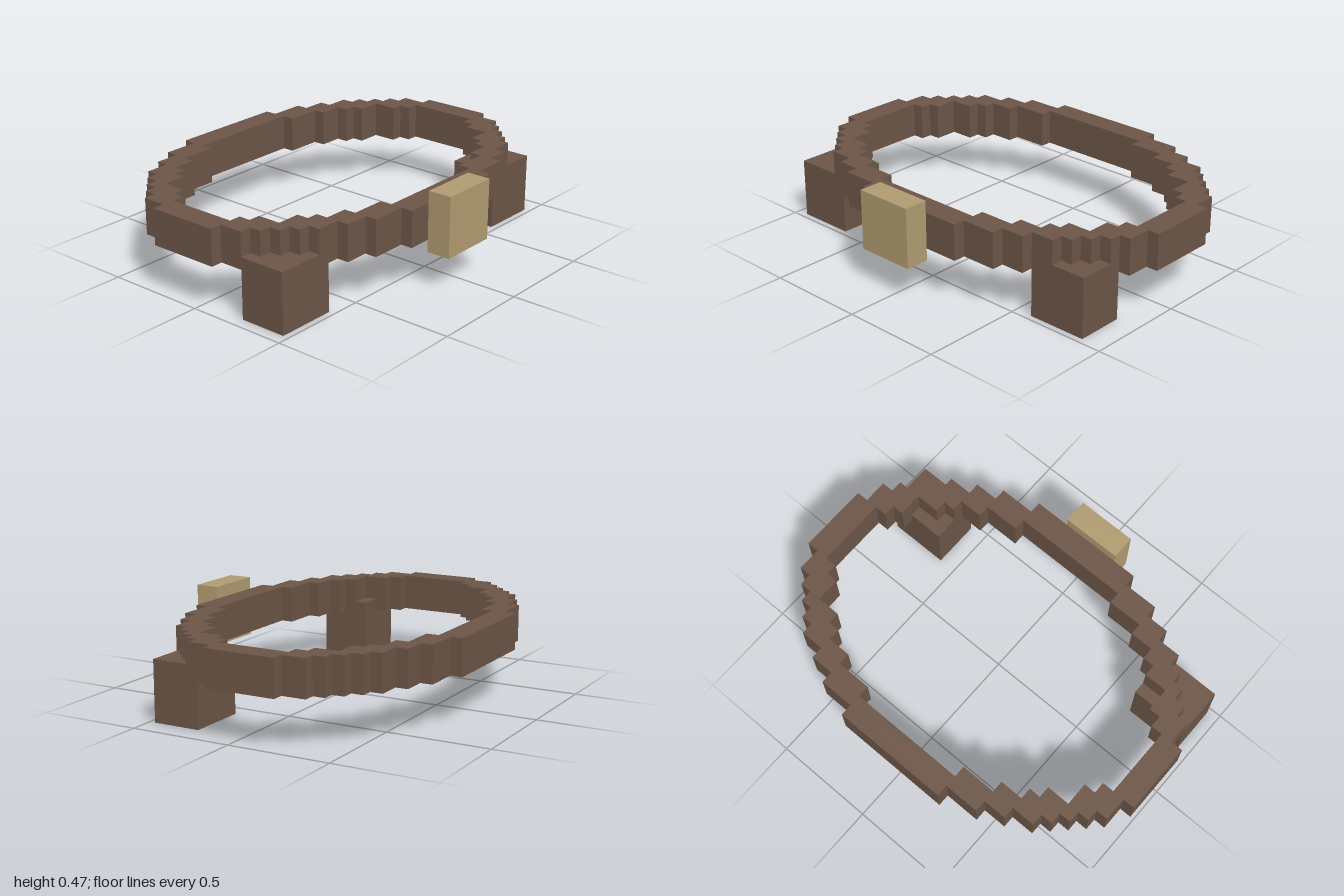
import * as THREE from 'three';

const U = 1 / 17; // one grid cell

// Mirror a quarter staircase outline into a closed counter-clockwise loop
function fullOutline(quarter) {
  const back = [...quarter].reverse();
  return [
    ...quarter,
    ...back.map(([x, y]) => [x, -y]),
    ...quarter.map(([x, y]) => [-x, -y]),
    ...back.map(([x, y]) => [-x, y]),
  ].reverse().map(([x, y]) => new THREE.Vector2(x * U, y * U));
}

// Box given by its grid limits
function block(name, material, [x0, x1], [y0, y1], [z0, z1]) {
  const geo = new THREE.BoxGeometry((x1 - x0) * U, (y1 - y0) * U, (z1 - z0) * U);
  const mesh = new THREE.Mesh(geo, material);
  mesh.position.set((x0 + x1) / 2 * U, (y0 + y1) / 2 * U, (z0 + z1) / 2 * U);
  mesh.name = name;
  return mesh;
}

export function createModel() {
  const group = new THREE.Group();
  group.name = 'belt';
  const leather = new THREE.MeshStandardMaterial({ name: 'brown leather', color: 0x6c5547 });
  const brass = new THREE.MeshStandardMaterial({ name: 'dull brass', color: 0xb09b70 });

  // Stepped oval strap
  const shape = new THREE.Shape(fullOutline([
    [5, 12], [5, 11], [8, 11], [8, 10], [10, 10], [10, 9], [12, 9], [12, 8], [13, 8],
    [13, 7], [14, 7], [14, 6], [15, 6], [15, 5], [16, 5], [16, 3], [17, 3],
  ]));
  shape.holes.push(new THREE.Path(fullOutline([
    [5, 10], [5, 9], [8, 9], [8, 8], [10, 8], [10, 7], [11, 7], [11, 6],
    [13, 6], [13, 4], [14, 4], [14, 3], [15, 3],
  ])));
  const strapGeo = new THREE.ExtrudeGeometry(shape, { depth: 3 * U, bevelEnabled: false });
  strapGeo.rotateX(-Math.PI / 2);
  const strap = new THREE.Mesh(strapGeo, leather);
  strap.position.set(0, 4 * U, -U);
  strap.name = 'strap';
  group.add(strap);

  // Pouches and buckle
  group.add(
    block('rightPouch', leather, [-16, -11], [0, 5], [4, 8]),
    block('leftPouch', leather, [10, 15], [0, 5], [4, 8]),
    block('buckle', brass, [-3, 2], [3, 8], [11, 13]),
  );
  return group;
}
